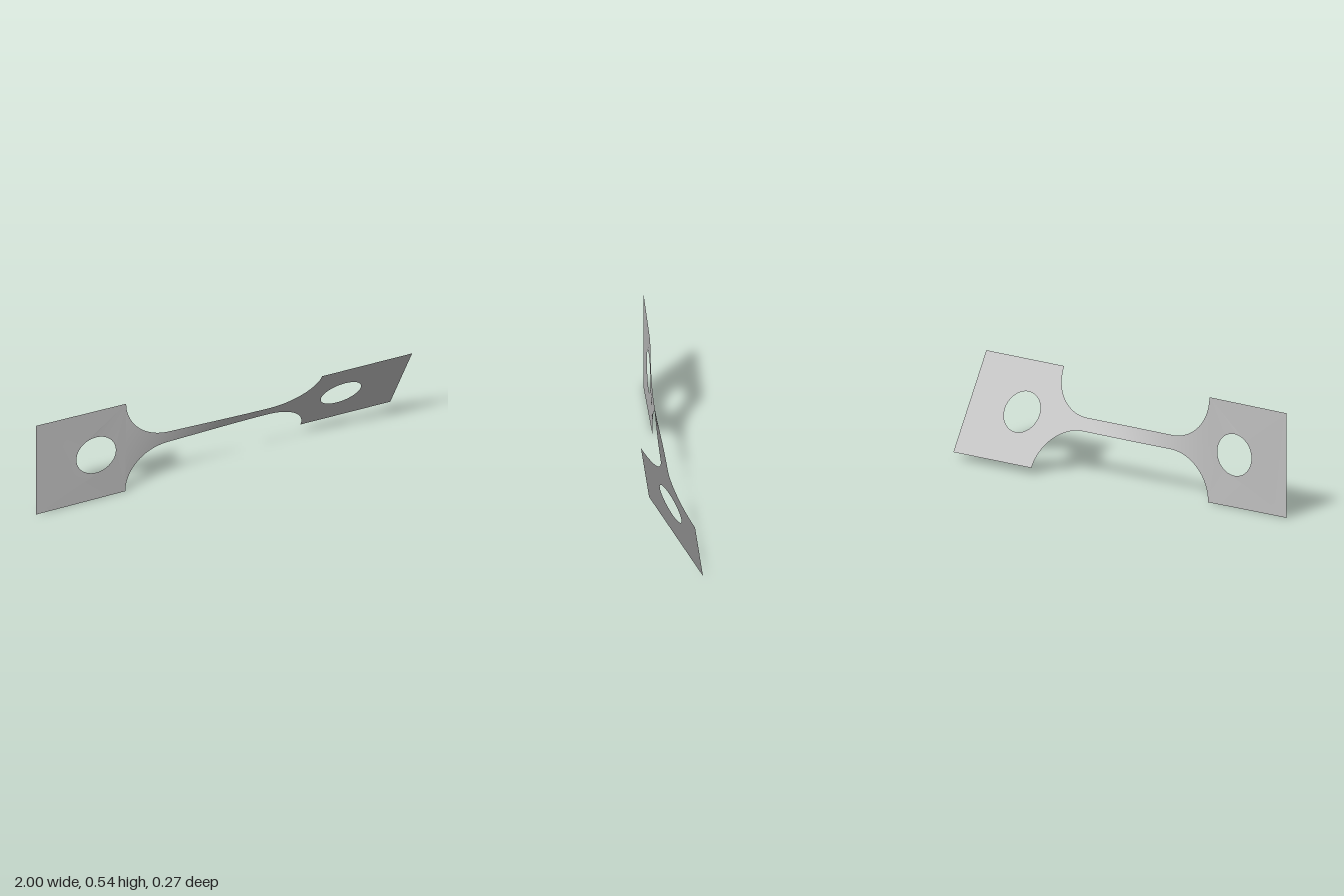
import * as THREE from 'three';

const CENTER_Y = 0.2715, HALF = 0.2715;   // axis height, grip half height
const NECK = 0.036, R = HALF - NECK;      // neck half height, fillet radius
const GRIP_X = 0.508, HOLE_X = 0.67, HOLE_R = 0.108;
const TWIST = Math.PI / 6;

// Twist the flat sheet about its long axis, easing from 0 to 30 degrees
function twist(geometry) {
  const p = geometry.attributes.position;
  for (let i = 0; i < p.count; i++) {
    const a = TWIST * THREE.MathUtils.smoothstep(p.getX(i), -0.62, 0.3);
    const y = p.getY(i);
    p.setXYZ(i, p.getX(i), CENTER_Y + y * Math.cos(a), y * Math.sin(a));
  }
  geometry.computeVertexNormals();
  return geometry;
}

// Square end plate with a round hole
function gripGeometry(side) {
  const x0 = side < 0 ? -1 : GRIP_X, x1 = side < 0 ? -GRIP_X : 1;
  const shape = new THREE.Shape([
    new THREE.Vector2(x0, -HALF), new THREE.Vector2(x1, -HALF),
    new THREE.Vector2(x1, HALF), new THREE.Vector2(x0, HALF),
  ]);
  const hole = new THREE.Path();
  hole.absarc(side * HOLE_X, 0, HOLE_R, 0, Math.PI * 2, true);
  shape.holes.push(hole);
  return twist(new THREE.ShapeGeometry(shape, 24));
}

// Narrow waist with a quarter-round fillet at each end
function waistGeometry() {
  const stations = [];                    // [x, half height]
  const F = 20, N = 28, inner = GRIP_X - R;
  for (let i = 0; i <= F; i++) {
    const a = (i / F) * Math.PI / 2;
    stations.push([-inner - R * Math.cos(a), HALF - R * Math.sin(a)]);
  }
  for (let i = 1; i < N; i++) stations.push([-inner + 2 * inner * i / N, NECK]);
  for (let i = F; i >= 0; i--) stations.push([-stations[i][0], stations[i][1]]);

  const rows = 6;
  const geometry = new THREE.PlaneGeometry(2, 2, stations.length - 1, rows);
  const p = geometry.attributes.position;
  for (let i = 0; i < p.count; i++) {
    const [x, half] = stations[i % stations.length];
    p.setXYZ(i, x, p.getY(i) * half, 0);
  }
  return twist(geometry);
}

export function createModel() {
  const metal = new THREE.MeshStandardMaterial({ color: 0xbebebe, side: THREE.DoubleSide });
  metal.name = 'grey metal';
  const group = new THREE.Group();
  group.name = 'twistedTestStrip';
  const add = (name, geometry) => {
    const mesh = new THREE.Mesh(geometry, metal);
    mesh.name = name;
    group.add(mesh);
  };
  add('rightGrip', gripGeometry(-1));
  add('waist', waistGeometry());
  add('leftGrip', gripGeometry(1));
  return group;
}
